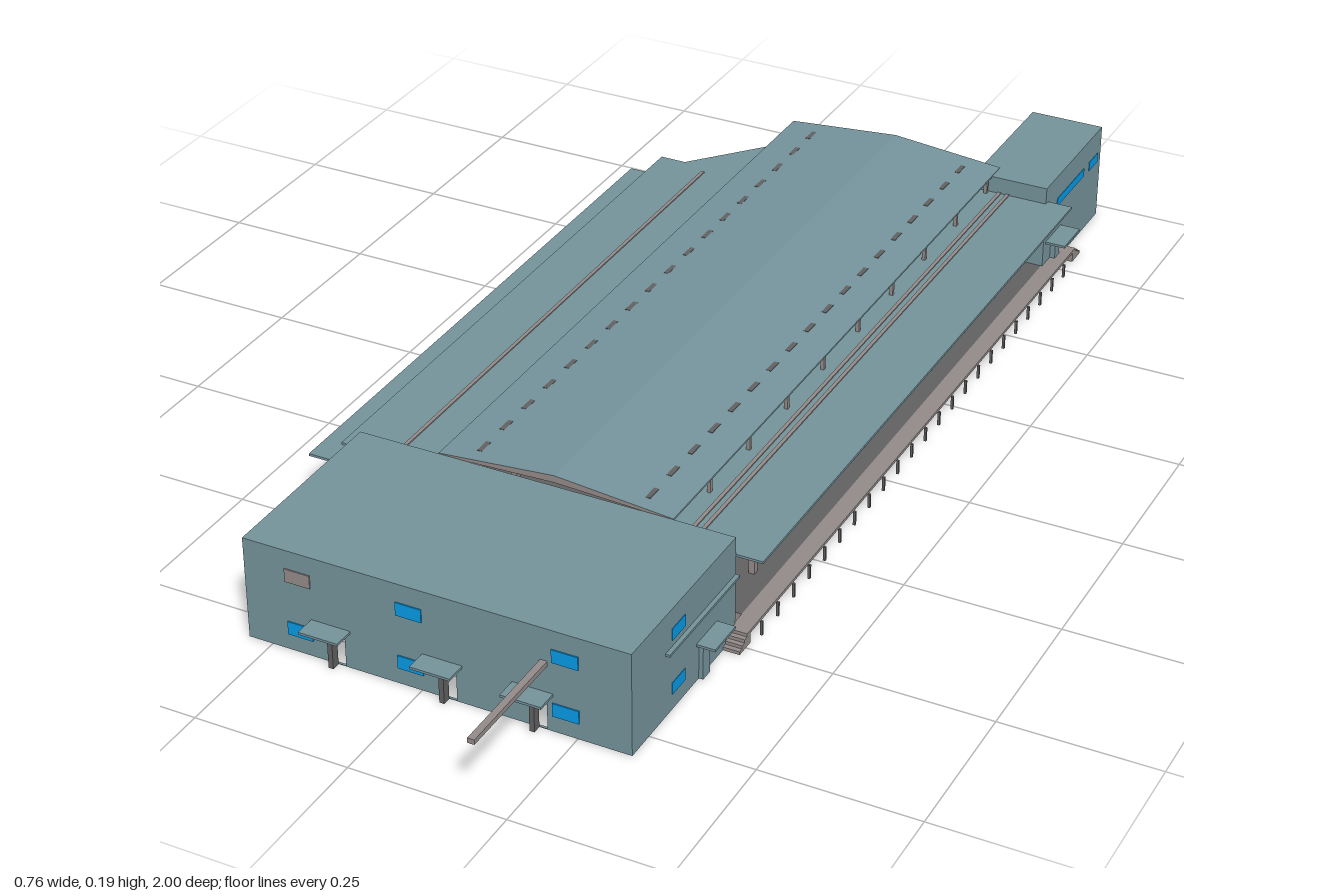
import * as THREE from 'three';

const mat = (name, color, side = THREE.FrontSide) => {
  const m = new THREE.MeshStandardMaterial({ color, side });
  m.name = name;
  return m;
};

export function createModel() {
  const model = new THREE.Group();
  model.name = 'stationHall';
  const teal = mat('teal cladding', 0x75939b, THREE.DoubleSide);
  const dark = mat('platform grey', 0x626161);
  const grey = mat('warm grey', 0x938b8a);
  const blue = mat('window blue', 0x059ae6);

  const add = (name, geo, material, parent = model) => {
    const mesh = new THREE.Mesh(geo, material);
    mesh.name = name;
    parent.add(mesh);
    return mesh;
  };
  const group = (name) => {
    const g = new THREE.Group();
    g.name = name;
    model.add(g);
    return g;
  };
  // box given by its limits
  const box = (name, m, x0, x1, y0, y1, z0, z1, parent) => {
    const g = new THREE.BoxGeometry(x1 - x0, y1 - y0, z1 - z0);
    g.translate((x0 + x1) / 2, (y0 + y1) / 2, (z0 + z1) / 2);
    return add(name, g, m, parent);
  };
  const vectors = (pts) => pts.map(([x, y]) => new THREE.Vector2(x, y));
  const shapeOf = (pts) => new THREE.Shape(vectors(pts));
  // flat plate from a plan outline, points as (x, -z)
  const plate = (name, shape, y, h, m) => {
    const g = new THREE.ExtrudeGeometry(shape, { depth: h, bevelEnabled: false, curveSegments: 10 });
    g.rotateX(-Math.PI / 2);
    g.translate(0, y, 0);
    return add(name, g, m);
  };
  const T = 0.004;

  // platform with one rounded rear corner and a slot inside the tower walls
  const floor = new THREE.Shape();
  floor.moveTo(-0.305, -0.455);
  floor.lineTo(0.333, -0.455);
  floor.lineTo(0.333, 0.968);
  floor.lineTo(-0.13, 0.968);
  floor.bezierCurveTo(-0.22, 0.968, -0.29, 0.89, -0.305, 0.79);
  floor.holes.push(new THREE.Path(vectors([
    [0.209, 0.714], [0.33, 0.714], [0.33, 0.735], [0.23, 0.735], [0.23, 0.96], [0.209, 0.96]])));
  plate('platform', floor, 0, 0.022, [dark, grey]);

  // narrow walkways along both long sides, carried on small posts
  const walkways = group('walkways');
  for (const [x0, x1, post] of [[-0.332, -0.305, -0.33], [0.333, 0.362, 0.368]]) {
    box('walkway', grey, x0, x1, 0.017, 0.022, -0.79, 0.49, walkways);
    for (let i = 0; i < 23; i++) {
      const z = 0.46 - i * 0.054;
      box('walkwayPost', dark, post - 0.002, post + 0.002, 0, 0.024, z - 0.002, z + 0.002, walkways);
    }
    // steps at both ends
    for (let k = 0; k < 4; k++) {
      const d = 0.035 - k * 0.008;
      const y = k * 0.0055;
      box('frontStep', grey, x0, x1, y, y + 0.0055, 0.485, 0.485 + d, walkways);
      box('rearStep', grey, x0, x1, y, y + 0.0055, -0.785 - d, -0.785, walkways);
    }
  }

  // front building: open-bottomed shell with door openings
  const front = group('frontBuilding');
  const doors = [-0.148, 0.035, 0.18];
  const wall = shapeOf([[-0.29, 0], [0.335, 0], [0.335, 0.17], [-0.29, 0.17]]);
  for (const x of doors) {
    wall.holes.push(new THREE.Path(vectors([[x, 0.001], [x, 0.06], [x + 0.022, 0.06], [x + 0.022, 0.001]])));
  }
  const wallGeo = new THREE.ExtrudeGeometry(wall, { depth: T, bevelEnabled: false });
  wallGeo.translate(0, 0, 0.8 - T);
  add('frontWall', wallGeo, teal, front);
  box('rearWall', teal, -0.29, 0.335, 0, 0.17, 0.48, 0.48 + T, front);
  box('rightWall', teal, 0.335 - T, 0.335, 0, 0.17, 0.48, 0.8, front);
  box('leftWall', teal, -0.29, -0.29 + T, 0, 0.17, 0.48, 0.8, front);
  box('flatRoof', teal, -0.29, 0.335, 0.168, 0.171, 0.48, 0.8, front);

  // canopies and posts at the front doors
  for (const x of doors) {
    box('doorCanopy', teal, x - 0.033, x + 0.032, 0.06, 0.064, 0.79, 0.835, front);
    box('doorPost', dark, x + 0.001, x + 0.009, 0, 0.06, 0.8, 0.814, front);
  }
  // side door canopies
  box('sideCanopy', teal, 0.33, 0.365, 0.06, 0.064, 0.54, 0.605, front);
  box('sideCanopy', teal, -0.33, -0.285, 0.06, 0.064, 0.54, 0.61, front);
  box('sidePost', teal, 0.334, 0.342, 0, 0.06, 0.575, 0.597, front);
  box('sidePost', teal, -0.305, -0.289, 0, 0.06, 0.575, 0.597, front);
  box('sideLedge', teal, 0.334, 0.342, 0.104, 0.108, 0.48, 0.7, front);

  // front and side windows
  for (const x of [-0.221, -0.038, 0.211]) {
    for (const y of [0.027, 0.118]) {
      const m = x < -0.2 && y > 0.1 ? grey : blue;
      box('frontWindow', m, x, x + 0.042, y, y + 0.022, 0.794, 0.802, front);
    }
  }
  for (const x of [-0.288, 0.333]) {
    for (const y of [0.026, 0.118]) box('sideWindow', blue, x - 0.003, x + 0.003, y, y + 0.02, 0.64, 0.68, front);
  }

  // horizontal mast on the front wall
  box('mast', grey, 0.193, 0.204, 0.109, 0.117, 0.79, 1.0);

  // rear tower shell
  const tower = group('rearTower');
  box('rightWall', teal, 0.335 - T, 0.335, 0, 0.17, -0.97, -0.71, tower);
  box('leftWall', teal, 0.205, 0.205 + T, 0, 0.17, -0.97, -0.71, tower);
  box('rearWall', teal, 0.205, 0.335, 0, 0.17, -0.97, -0.97 + T, tower);
  box('frontWall', teal, 0.205, 0.335, 0, 0.17, -0.71 - T, -0.71, tower);
  box('towerRoof', teal, 0.205, 0.335, 0.168, 0.171, -0.97, -0.71, tower);
  for (const x of [0.207, 0.333]) {
    box('stripWindow', blue, x - 0.003, x + 0.003, 0.112, 0.127, -0.89, -0.765, tower);
    box('smallWindow', blue, x - 0.003, x + 0.003, 0.11, 0.127, -0.955, -0.915, tower);
  }
  box('rearWindow', blue, 0.25, 0.29, 0.11, 0.127, -0.972, -0.964, tower);
  box('rearCanopy', teal, 0.235, 0.305, 0.06, 0.064, -1.0, -0.965, tower);
  box('rearPost', teal, 0.26, 0.28, 0, 0.06, -0.985, -0.97, tower);
  box('sideCanopy', teal, 0.33, 0.37, 0.06, 0.064, -0.79, -0.72, tower);
  box('sidePost', teal, 0.334, 0.344, 0, 0.06, -0.765, -0.745, tower);
  box('innerCanopy', grey, 0.172, 0.205, 0.06, 0.064, -0.785, -0.74, tower);

  // main gable roof with grey ends
  const gable = shapeOf([[-0.155, 0.169], [0.04, 0.177], [0.235, 0.169], [0.235, 0.172], [0.04, 0.189], [-0.155, 0.172]]);
  const gableGeo = new THREE.ExtrudeGeometry(gable, { depth: 1.225, bevelEnabled: false });
  gableGeo.translate(0, 0, -0.745);
  add('mainRoof', gableGeo, [grey, teal]);
  // dashed slots nearly flush with the main roof
  for (let i = 0; i < 18; i++) {
    const z = 0.44 - i * 0.067;
    for (const x of [-0.1, 0.18]) box('roofSlot', dark, x - 0.004, x + 0.004, 0.172, 0.1774, z - 0.014, z + 0.014);
  }

  // right side roof with a set-back fascia holding two grey panels
  box('rightRoof', teal, 0.19, 0.378, 0.138, 0.142, -0.72, 0.48);
  box('rightFascia', teal, 0.308, 0.312, 0.109, 0.138, -0.71, 0.48);
  for (const z of [0.15, -0.33]) box('fasciaPanel', grey, 0.306, 0.314, 0.114, 0.133, z - 0.035, z + 0.035);

  // stepped left roofs with a slanted rear end
  plate('leftRoof', shapeOf([[-0.325, -0.48], [-0.1, -0.48], [-0.1, 0.735], [-0.16, 0.71], [-0.28, 0.57], [-0.325, 0.57]]),
    0.138, 0.004, teal);
  box('leftCanopy', teal, -0.385, -0.29, 0.101, 0.105, -0.57, 0.48);
  for (let i = 0; i < 17; i++) {
    const z = 0.46 - i * 0.0635;
    box('leftRoofPost', grey, -0.325, -0.323, 0.105, 0.138, z - 0.001, z + 0.001);
  }

  // raised seams on the roofs
  for (const x of [0.25, 0.265]) box('roofSeam', grey, x - 0.003, x + 0.003, 0.141, 0.144, -0.72, 0.48);
  box('roofSeam', grey, -0.238, -0.232, 0.141, 0.144, -0.55, 0.48);

  // long beams and column rows
  const frame = group('columnsAndBeams');
  for (const x of [-0.1, 0.175]) box('longBeam', grey, x - 0.005, x + 0.005, 0.145, 0.153, -0.72, 0.48, frame);
  for (let i = 0; i < 9; i++) {
    const z = 0.35 - i * 0.1315;
    for (const [x, top] of [[-0.29, 0.138], [-0.1, 0.172], [0.175, 0.172], [0.3, 0.138]]) {
      if (i === 8 && Math.abs(x) > 0.2) continue;
      box('column', grey, x - 0.005, x + 0.005, 0.02, top, z - 0.005, z + 0.005, frame);
    }
    // short posts in the gaps under the main roof edges
    for (const x of [-0.148, 0.228]) box('gapPost', grey, x - 0.003, x + 0.003, 0.142, 0.17, z - 0.003, z + 0.003, frame);
    box('crossBeam', grey, -0.1, 0.175, 0.148, 0.154, z - 0.003, z + 0.003, frame);
  }

  // low railing along the rear edge
  const rail = group('rearRailing');
  for (let i = 0; i < 6; i++) {
    const x = 0.08 + i * 0.02;
    box('railPost', dark, x - 0.001, x + 0.001, 0.02, 0.042, -0.966, -0.964, rail);
  }
  for (const y of [0.031, 0.041]) box('railBar', dark, 0.08, 0.18, y, y + 0.002, -0.966, -0.964, rail);

  return model;
}
